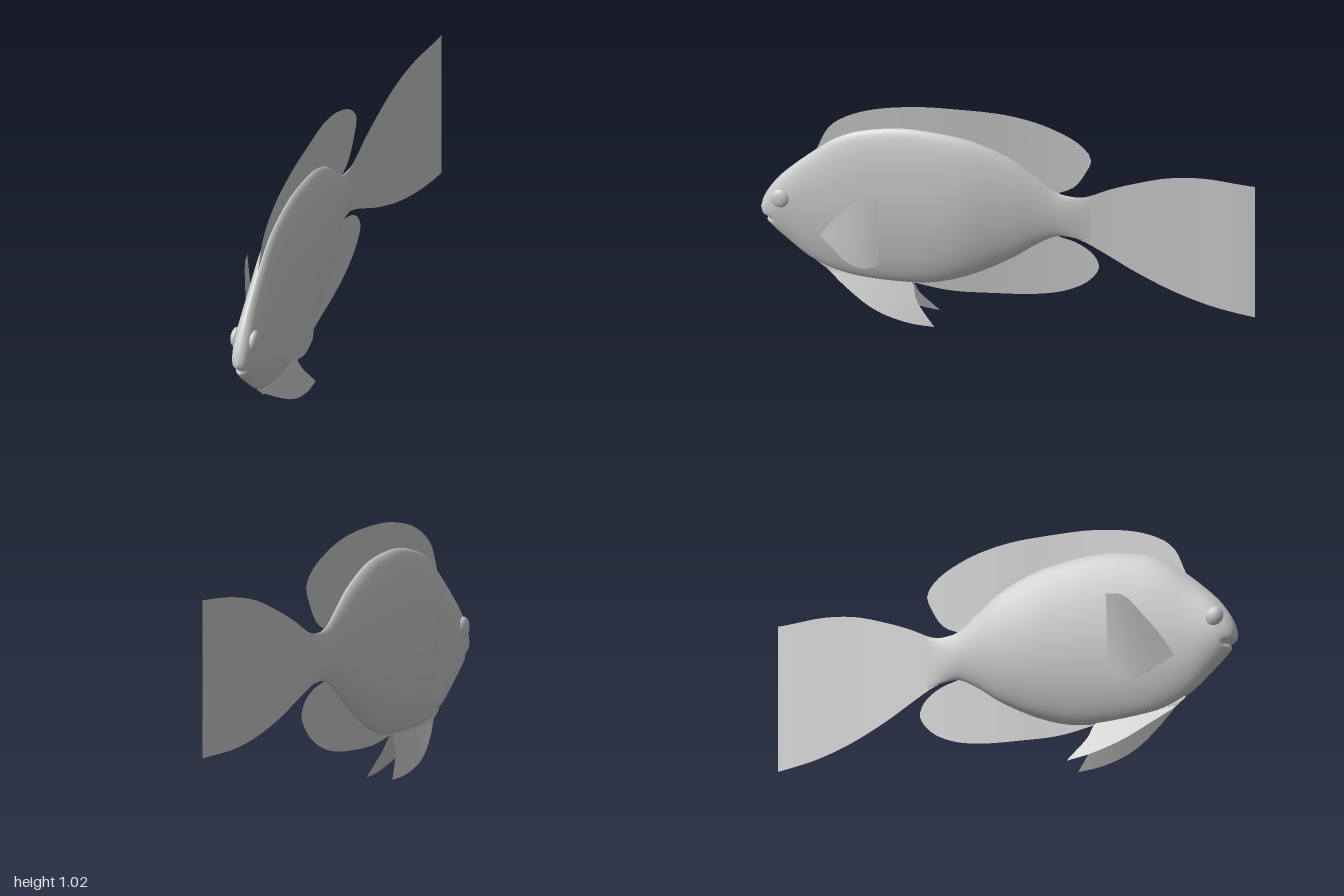
import * as THREE from 'three';
import { mergeVertices } from 'three/addons/utils/BufferGeometryUtils.js';

const material = new THREE.MeshStandardMaterial({ color: 0xcccccc, side: THREE.DoubleSide });

// Sideways bend of the spine, sampled every 0.25 from nose (z = 1) to tail (z = -1)
const bend = new THREE.SplineCurve(
  [0, 0, -0.002, -0.008, -0.022, -0.022, 0.002, 0.037, 0.075].map((x, i) => new THREE.Vector2(1 - i / 4, x)));
const spineX = (z) => bend.getPoint(THREE.MathUtils.clamp((1 - z) / 2, 0, 1)).y;

// Surface from a rule fn(u, v) -> [x, y, z]
function surface(nu, nv, fn) {
  const pos = [], index = [];
  for (let i = 0; i <= nu; i++) for (let j = 0; j <= nv; j++) pos.push(...fn(i / nu, j / nv));
  for (let i = 0; i < nu; i++) for (let j = 0; j < nv; j++) {
    const a = i * (nv + 1) + j, b = a + nv + 1;
    index.push(a, b, a + 1, b, b + 1, a + 1);
  }
  let geo = new THREE.BufferGeometry();
  geo.setAttribute('position', new THREE.Float32BufferAttribute(pos, 3));
  geo.setIndex(index);
  geo = mergeVertices(geo, 1e-5);
  geo.computeVertexNormals();
  return geo;
}

function addMesh(group, name, geo) {
  const mesh = new THREE.Mesh(geo, material);
  mesh.name = name;
  group.add(mesh);
  return mesh;
}

// Fin lofted between two [z, y] outlines; xAt(z, y) bends it sideways
function fin(outer, inner, xAt, nu = 48, nv = 10) {
  const [a, b] = [outer, inner].map((pts) => new THREE.CatmullRomCurve3(pts.map(([z, y]) => new THREE.Vector3(0, y, z))));
  return surface(nu, nv, (u, v) => {
    const p = a.getPointAt(u).lerp(b.getPointAt(u), v);
    return [xAt(p.z, p.y), p.y, p.z];
  });
}

// Body stations: z, top, bottom, half width
const stations = [
  [1.0, 0.45, 0.45, 0], [0.985, 0.505, 0.405, 0.026], [0.95, 0.57, 0.365, 0.039], [0.9, 0.635, 0.318, 0.046],
  [0.8, 0.735, 0.235, 0.052], [0.7, 0.82, 0.19, 0.059], [0.6, 0.868, 0.17, 0.065], [0.45, 0.9, 0.165, 0.071],
  [0.3, 0.897, 0.18, 0.076], [0.15, 0.87, 0.235, 0.074], [0, 0.805, 0.325, 0.056], [-0.1, 0.73, 0.405, 0.038],
  [-0.18, 0.668, 0.455, 0.024], [-0.25, 0.655, 0.458, 0.013], [-0.32, 0.665, 0.447, 0.002],
];

function bodyGeometry() {
  const spline = (f) => new THREE.CatmullRomCurve3(stations.map(f), false, 'catmullrom', 0.5);
  const profile = spline(([z, t, b]) => new THREE.Vector3(z, t, b));
  const widths = spline(([, , , w]) => new THREE.Vector3(w, 0, 0));
  return surface(110, 72, (u, v) => {
    const { x: z, y: top, z: bottom } = profile.getPoint(u);
    const w = Math.max(0, widths.getPoint(u).x);
    const a = v * Math.PI * 2 - Math.PI / 2, c = Math.cos(a);
    const y = (top + bottom) / 2 + Math.sin(a) * (top - bottom) / 2;
    // mouth crease pressed into the snout
    const crease = Math.exp(-(((y - 0.41) / 0.012) ** 2)) * THREE.MathUtils.smoothstep(z, 0.93, 0.98);
    const x = w * Math.sign(c) * Math.abs(c) ** 1.1 * (1 - 0.2 * crease);
    return [spineX(z) + x, y, z - 0.018 * crease];
  });
}

export function createModel() {
  const group = new THREE.Group();
  addMesh(group, 'body', bodyGeometry());

  addMesh(group, 'dorsalFin', fin(
    [[0.78, 0.75], [0.72, 0.88], [0.6, 0.96], [0.4, 1.01], [0.2, 1.02], [0, 1.01], [-0.15, 0.975],
      [-0.28, 0.91], [-0.323, 0.85], [-0.3, 0.78], [-0.25, 0.7], [-0.17, 0.655]],
    [[0.78, 0.7], [0.6, 0.83], [0.35, 0.86], [0.1, 0.82], [-0.08, 0.7], [-0.17, 0.64]], spineX));

  addMesh(group, 'analFin', fin(
    [[0.42, 0.17], [0.25, 0.145], [0.1, 0.147], [-0.1, 0.165], [-0.22, 0.2], [-0.31, 0.26],
      [-0.355, 0.335], [-0.335, 0.39], [-0.27, 0.435], [-0.17, 0.46]],
    [[0.42, 0.2], [0.25, 0.23], [0.1, 0.3], [-0.05, 0.41], [-0.17, 0.48]], spineX));

  addMesh(group, 'tailFin', fin(
    [[-0.22, 0.645], [-0.3, 0.665], [-0.4, 0.722], [-0.5, 0.772], [-0.65, 0.835], [-0.8, 0.868], [-1, 0.88]],
    [[-0.22, 0.47], [-0.3, 0.445], [-0.4, 0.398], [-0.5, 0.35], [-0.65, 0.295], [-0.8, 0.262], [-1, 0.25]], spineX));

  for (const [side, s] of [['left', 1], ['right', -1]]) {
    // Pectoral fin, flaring away from the flank
    const pectoralX = (z, y) => {
      const t = (0.75 - z) / 0.25;
      return s * (0.055 + 0.065 * Math.sin(t * Math.PI / 2) + 0.1 * (y - 0.3) * t);
    };
    addMesh(group, side + 'PectoralFin', fin(
      [[0.75, 0.385], [0.7, 0.47], [0.62, 0.58], [0.58, 0.63], [0.55, 0.646], [0.5, 0.65]],
      [[0.75, 0.38], [0.69, 0.335], [0.64, 0.297], [0.58, 0.285], [0.54, 0.295], [0.5, 0.325]], pectoralX, 24));

    // Pelvic fin, splayed outward below the belly
    const pelvicX = (z, y) => -0.005 + s * Math.max(0, 0.18 - y) * (0.33 + 0.5 * (z - 0.3));
    addMesh(group, side + 'PelvicFin', fin(
      [[0.78, 0.215], [0.65, 0.12], [0.53, 0.05], [0.4, 0.012], [0.295, 0.002]],
      [[0.76, 0.23], [0.6, 0.2], [0.4, 0.175], [0.37, 0.1], [0.295, 0.004]], pelvicX, 28));

    // Eye bulge
    const eye = addMesh(group, side + 'Eye', new THREE.SphereGeometry(1, 24, 16));
    eye.scale.set(0.02, 0.042, 0.038);
    eye.position.set(s * 0.038, 0.525, 0.915);
  }
  return group;
}
